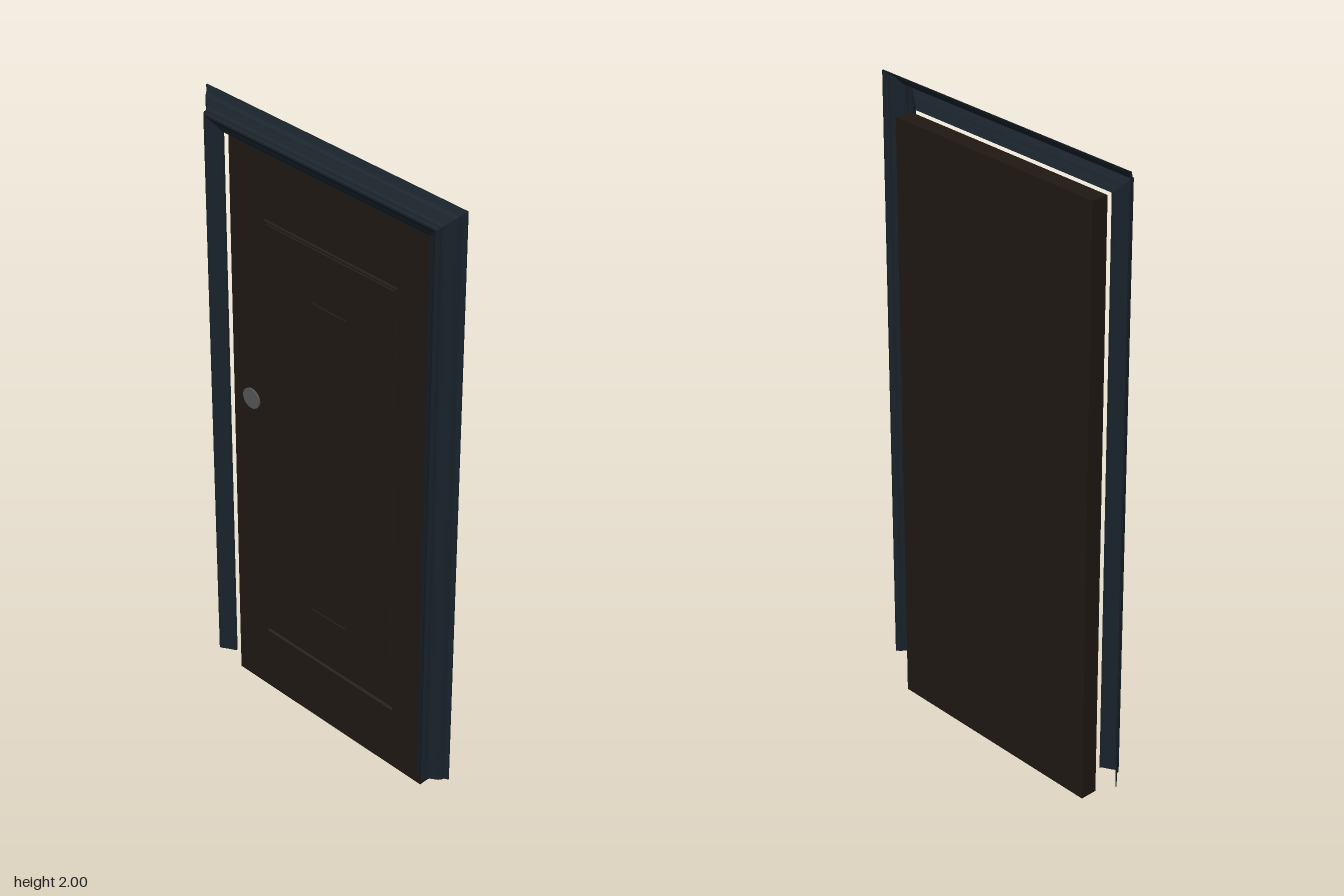
import * as THREE from 'three';

// Skin a list of cross-sections (each a list of [x, y, z]) with flat-shaded quads
function loft(sections, closed) {
  const pos = [];
  const n = sections[0].length;
  for (let s = 0; s < sections.length - 1; s++) {
    for (let p = 0; p < (closed ? n : n - 1); p++) {
      const q = (p + 1) % n;
      const a = sections[s][p], b = sections[s + 1][p];
      const c = sections[s + 1][q], d = sections[s][q];
      pos.push(...a, ...b, ...c, ...a, ...c, ...d);
    }
  }
  const geo = new THREE.BufferGeometry();
  geo.setAttribute('position', new THREE.Float32BufferAttribute(pos, 3));
  geo.computeVertexNormals();
  return geo;
}

function part(name, geo, color, side = THREE.FrontSide) {
  const mesh = new THREE.Mesh(geo, new THREE.MeshStandardMaterial({ color, side }));
  mesh.name = name;
  return mesh;
}

export function createModel() {
  const model = new THREE.Group();
  model.name = 'door';

  // Door leaf: nested rectangles [half width, half height, z] from back to front
  const midY = 0.95;
  const rings = [
    [0, 0, -0.05], [0.385, 0.95, -0.05], [0.385, 0.95, 0.005],
    // outer moulded groove
    [0.264, 0.734, 0.005], [0.26, 0.73, -0.002], [0.254, 0.724, -0.002],
    [0.25, 0.72, 0.002], [0.245, 0.715, 0.002], [0.243, 0.713, 0.005],
    // thin inner groove and centre panel
    [0.07, 0.542, 0.005], [0.068, 0.54, 0], [0.066, 0.538, 0],
    [0.064, 0.536, 0.005], [0, 0, 0.005],
  ];
  const leaf = rings.map(([w, h, z]) =>
    [[-1, -1], [-1, 1], [1, 1], [1, -1]].map(([i, j]) => [i * w, midY + j * h, z]));
  model.add(part('doorLeaf', loft(leaf, true), 0x1f1812));

  // Casing: open moulding profile [x, z] from inner to outer edge, mitred at the top corners
  const profile = [
    [0.385, 0.02], [0.387, 0.026], [0.405, 0.036], [0.41, 0.038], [0.428, 0.05],
    [0.434, 0.05], [0.437, 0.044], [0.438, 0.035], [0.443, 0.027], [0.452, 0.021],
    [0.463, 0.014], [0.469, 0.006], [0.472, -0.002], [0.476, -0.004],
    [0.483, -0.008], [0.483, -0.012],
  ];
  const foot = 0.075, topOffset = 2 - 0.483;
  const stations = [[-1, false], [-1, true], [1, true], [1, false]].map(([side, top]) =>
    profile.map(([x, z]) => [side * x, top ? topOffset + x : foot, z]));
  model.add(part('casing', loft(stations, false), 0x18222a, THREE.DoubleSide));

  // Knob: flat round disc
  const knob = part('knob', new THREE.CylinderGeometry(0.033, 0.033, 0.008, 24), 0x555555);
  knob.rotation.x = Math.PI / 2;
  knob.position.set(-0.31, 1.055, 0.007);
  model.add(knob);

  return model;
}
